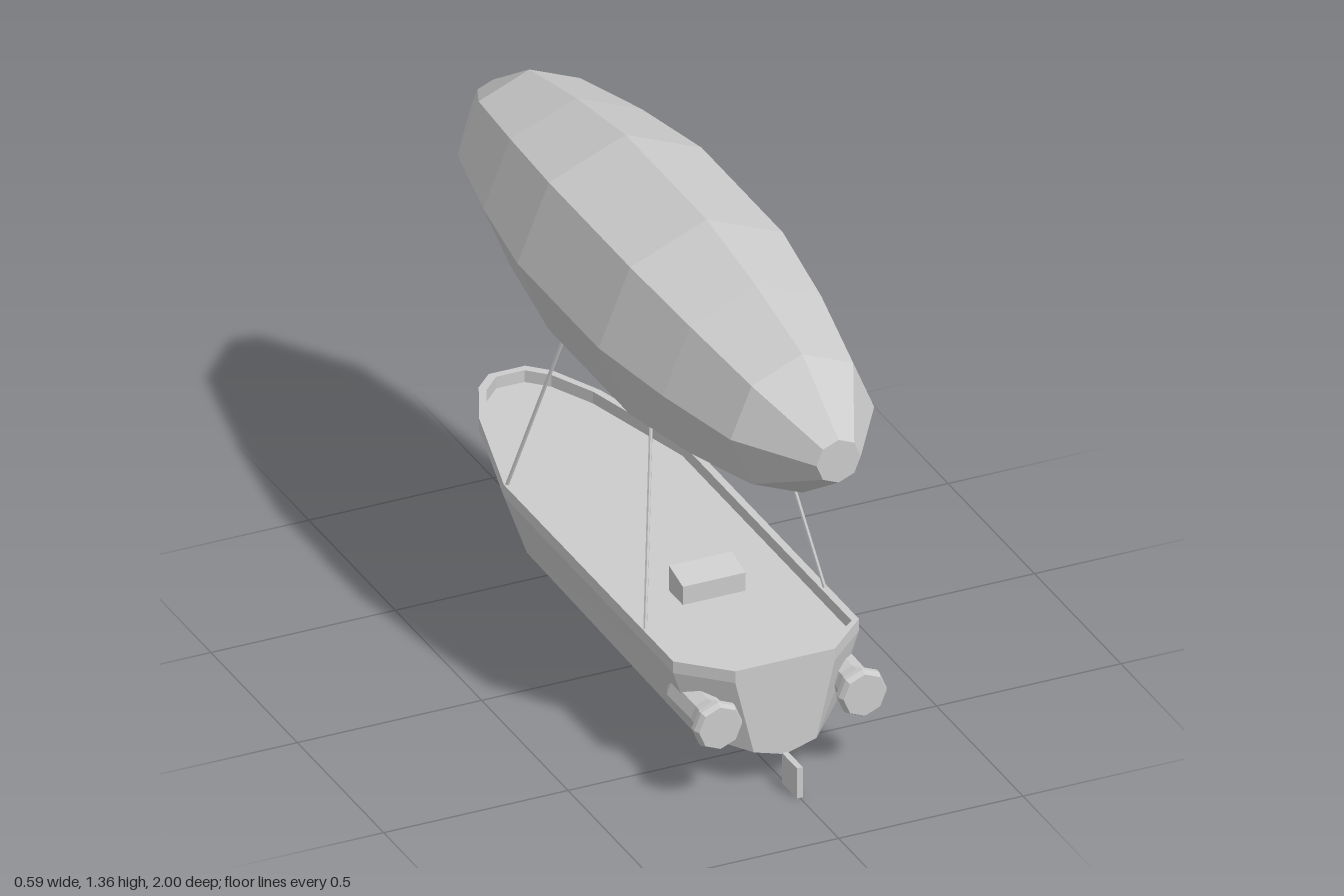
import * as THREE from 'three';

const mat = new THREE.MeshStandardMaterial({ color: 0xcccccc, flatShading: true });

function add(parent, name, geometry, x = 0, y = 0, z = 0) {
  const mesh = new THREE.Mesh(geometry, mat);
  mesh.name = name;
  mesh.position.set(x, y, z);
  parent.add(mesh);
  return mesh;
}

// Eight-sided turned body lying along z; points are [radius, z] with z rising
function turned(points) {
  const g = new THREE.LatheGeometry(points.map(([r, z]) => new THREE.Vector2(r, z)), 8);
  return g.rotateX(Math.PI / 2);
}

// Hull stations, stern to bow: z, deck half width, chine half width, chine y, keel y
const stations = [
  [0.69, 0.135, 0.085, 0.105, 0.08],
  [0.58, 0.252, 0.19, 0.125, 0.08],
  [-0.4, 0.252, 0.19, 0.14, 0.08],
  [-0.73, 0.165, 0.11, 0.205, 0.175],
  [-0.87, 0.1, 0.055, 0.258, 0.24],
  [-0.92, 0.05, 0.025, 0.298, 0.288],
];
const DECK = 0.312, RIM = 0.345;

// Closed loft through five-sided sections
function hullGeometry() {
  const loops = stations.map(([z, w, c, cy, ky]) =>
    [[0, ky, z], [c, cy, z], [w, DECK, z], [-w, DECK, z], [-c, cy, z]]);
  const pos = [];
  const tri = (a, b, c) => pos.push(...a, ...b, ...c);
  for (let i = 0; i < loops.length - 1; i++) {
    for (let j = 0; j < 5; j++) {
      const k = (j + 1) % 5;
      const a = loops[i][j], b = loops[i][k], c = loops[i + 1][k], d = loops[i + 1][j];
      tri(a, d, c);
      tri(a, c, b);
    }
  }
  const stern = loops[0], bow = loops[loops.length - 1];
  for (let j = 1; j < 4; j++) {
    tri(stern[0], stern[j], stern[j + 1]);
    tri(bow[0], bow[j + 1], bow[j]);
  }
  const g = new THREE.BufferGeometry();
  g.setAttribute('position', new THREE.Float32BufferAttribute(pos, 3));
  g.computeVertexNormals();
  return g;
}

// Raised edge following the deck outline
function rimGeometry() {
  const outline = (inset) => {
    const side = stations.map(([z, w]) => [
      w - inset * (z > 0.6 || z < -0.8 ? 0.6 : 1),
      -(z > 0.6 ? z - inset : z < -0.8 ? z + inset : z),
    ]);
    const other = side.map(([x, y]) => [-x, y]).reverse();
    return [...side, ...other].map(([x, y]) => new THREE.Vector2(x, y));
  };
  const shape = new THREE.Shape(outline(0));
  shape.holes.push(new THREE.Path(outline(0.02)));
  const g = new THREE.ExtrudeGeometry(shape, { depth: RIM - DECK, bevelEnabled: false });
  return g.rotateX(-Math.PI / 2).translate(0, DECK, 0);
}

// Thin straight rope between two points
function ropeGeometry(from, to) {
  return new THREE.TubeGeometry(new THREE.LineCurve3(from, to), 1, 0.005, 6);
}

export function createModel() {
  const model = new THREE.Group();
  model.name = 'airship';

  // Gas envelope
  const half = [[0, 1], [0.06, 1], [0.195, 0.79], [0.252, 0.52], [0.293, 0.235]];
  const profile = [...half.map(([r, z]) => [r, -z]), ...half.reverse()];
  add(model, 'envelope', turned(profile), 0, 1.062, 0);

  // Boat-shaped gondola
  const gondola = new THREE.Group();
  gondola.name = 'gondola';
  model.add(gondola);
  add(gondola, 'hull', hullGeometry());
  add(gondola, 'rim', rimGeometry());

  // Sloped control console on the deck
  const consoleShape = new THREE.Shape([[0.28, 0.3], [0.28, 0.363], [0.2, 0.382], [0.2, 0.3]]
    .map(([z, y]) => new THREE.Vector2(z, y)));
  const consoleGeo = new THREE.ExtrudeGeometry(consoleShape, { depth: 0.17, bevelEnabled: false });
  consoleGeo.rotateY(-Math.PI / 2);
  add(gondola, 'console', consoleGeo, 0.085);

  // Rudder below the stern
  add(gondola, 'rudder', new THREE.BoxGeometry(0.016, 0.085, 0.085), 0, 0.0425, 0.733);

  // Flared engine pods
  const pod = [[0, 0.49], [0.03, 0.49], [0.048, 0.525], [0.046, 0.66],
    [0.05, 0.69], [0.065, 0.705], [0.065, 0.72], [0.058, 0.735], [0, 0.735]];
  for (const side of [-1, 1]) {
    add(gondola, side > 0 ? 'leftEngine' : 'rightEngine', turned(pod), side * 0.196, 0.222, 0);
  }

  // Four ropes leaning inward from the rim to the envelope
  for (const sx of [-1, 1]) {
    for (const sz of [-1, 1]) {
      add(model, 'rope', ropeGeometry(
        new THREE.Vector3(sx * 0.246, 0.33, sz * 0.404),
        new THREE.Vector3(sx * 0.143, 0.9, sz * 0.224)));
    }
  }
  return model;
}
